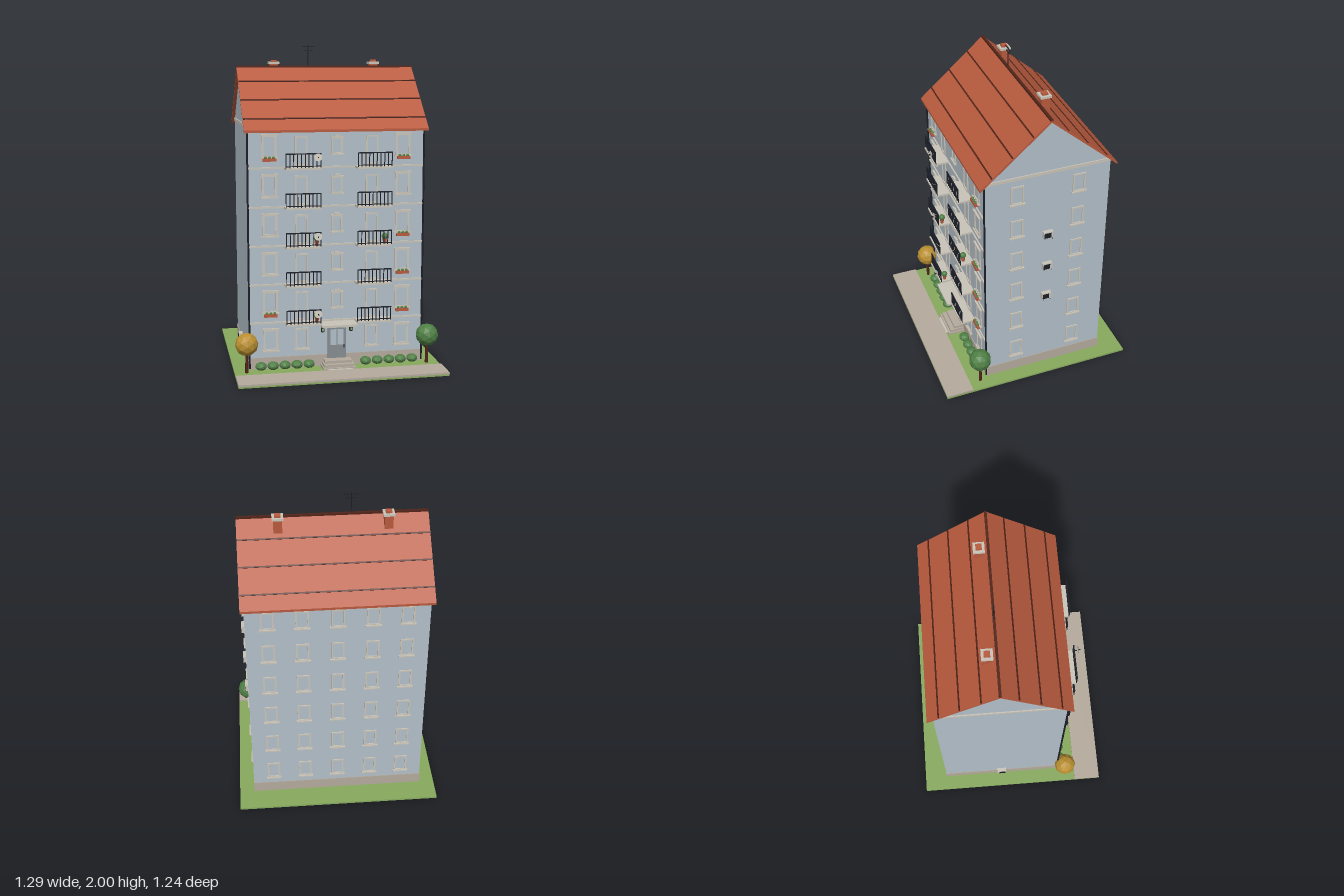
import * as THREE from 'three';

const mat = (name, color, extra = {}) => Object.assign(new THREE.MeshStandardMaterial({ color, ...extra }), { name });

export function createModel() {
  const M = {
    wall: mat('paleBlueWall', 0xb1bec8),
    trim: mat('creamTrim', 0xc9c4b8),
    stone: mat('stone', 0xb4aa9c),
    roof: mat('terracotta', 0xb85a3e),
    brown: mat('darkBrown', 0x522318),
    iron: mat('blackIron', 0x1c1f28),
    grey: mat('doorGrey', 0x858c90),
    grass: mat('grass', 0x87aa5e),
    leaf: mat('leafGreen', 0x4f7f45, { flatShading: true }),
    gold: mat('autumnGold', 0xb98f32, { flatShading: true }),
  };
  const model = new THREE.Group();
  model.name = 'apartmentBlock';

  const add = (name, geo, m, x = 0, y = 0, z = 0, parent = model) => {
    const mesh = new THREE.Mesh(geo, m);
    mesh.name = name;
    mesh.position.set(x, y, z);
    parent.add(mesh);
    return mesh;
  };
  const box = (name, m, w, h, d, x, y, z, parent) => add(name, new THREE.BoxGeometry(w, h, d), m, x, y, z, parent);
  const group = (name, x = 0, y = 0, z = 0, ry = 0) => {
    const g = new THREE.Group();
    g.name = name;
    g.position.set(x, y, z);
    g.rotation.y = ry;
    model.add(g);
    return g;
  };
  // extrudes a (z, y) outline along x, centred
  const alongX = (pts, width) => {
    const g = new THREE.ExtrudeGeometry(new THREE.Shape(pts.map(p => new THREE.Vector2(...p))), { depth: width, bevelEnabled: false });
    return g.rotateY(-Math.PI / 2).translate(width / 2, 0, 0);
  };

  const FRONT = 0.318, BACK = -0.468, MID = -0.075, HALF = 0.547;
  const rows = [0, 1, 2, 3, 4, 5].map(i => 0.195 + 0.24 * i);

  // ground
  box('lawn', M.grass, 1.29, 0.012, 1.24, 0, 0.006, 0);
  box('pavement', M.stone, 1.29, 0.012, 0.175, 0, 0.016, 0.533);

  // walls with gables, plinth
  add('walls', alongX([[BACK, 0.01], [FRONT, 0.01], [FRONT, 1.51], [MID, 1.85], [BACK, 1.51]], HALF * 2), M.wall);
  box('plinth', M.stone, HALF * 2 + 0.008, 0.075, FRONT - BACK + 0.008, 0, 0.0475, MID);
  for (const s of [-1, 1]) {
    box('gableBand', M.trim, 0.008, 0.02, 0.79, s * (HALF + 0.003), 1.512, MID);
    add('drainpipe', new THREE.CylinderGeometry(0.006, 0.006, 1.47, 8), M.iron, s * HALF, 0.755, FRONT + 0.005);
  }

  // roof slopes with batten lines
  const slope = 0.867, run = 0.428, tilt = Math.atan(slope);
  const roofY = d => 1.865 - slope * d;
  for (const s of [-1, 1]) {
    const pts = [[MID, 1.865], [MID, 1.85], [MID + s * run, roofY(run) - 0.015], [MID + s * run, roofY(run)]];
    add('roofSlope', alongX(s > 0 ? pts : pts.reverse(), 1.135), M.roof);
    for (const d of [0.105, 0.23, 0.355]) {
      const line = box('roofLine', M.brown, 1.13, 0.008, 0.009, 0, roofY(d), MID + s * d);
      line.rotation.x = s * tilt;
    }
  }
  box('ridgeCap', M.brown, 1.135, 0.012, 0.016, 0, 1.864, MID);

  // chimneys
  for (const x of [-0.325, 0.325]) {
    box('chimney', M.roof, 0.052, 0.12, 0.052, x, 1.825, -0.13);
    box('chimneyCap', M.trim, 0.068, 0.014, 0.068, x, 1.887, -0.13);
    box('chimneyPot', M.roof, 0.036, 0.012, 0.036, x, 1.9, -0.13);
  }

  // aerial
  add('aerialMast', new THREE.CylinderGeometry(0.003, 0.003, 0.14, 6), M.iron, -0.11, 1.93, MID);
  box('aerialBar', M.iron, 0.085, 0.004, 0.004, -0.11, 1.99, MID);
  box('aerialBar', M.iron, 0.06, 0.004, 0.004, -0.11, 1.965, MID);

  // window frames: hollow surround, sill, optional head
  const frame = (parent, name, w, h, x, y, t = 0.01, sill = true, head = 0) => {
    const rect = (P, a, b) => new P([[-a, -b], [a, -b], [a, b], [-a, b]].map(p => new THREE.Vector2(...p)));
    const shape = rect(THREE.Shape, w / 2, h / 2);
    shape.holes.push(rect(THREE.Path, w / 2 - t, h / 2 - t));
    add(name, new THREE.ExtrudeGeometry(shape, { depth: 0.007, bevelEnabled: false }), M.trim, x, y, 0, parent);
    if (sill) box('sill', M.trim, w + 0.016, 0.009, 0.016, x, y - h / 2, 0.007, parent);
    if (head) box('windowHead', M.trim, w + head, 0.009, 0.014, x, y + h / 2, 0.006, parent);
  };

  const front = group('frontFacade', 0, 0, FRONT);
  const back = group('backFacade', 0, 0, BACK, Math.PI);
  const side = group('leftFacade', HALF, 0, 0, Math.PI / 2);
  rows.forEach((y, i) => {
    for (const s of [-1, 1]) {
      frame(front, 'frontWindow', 0.092, 0.14, s * 0.415, y, 0.013, true, 0.012);
      if (i === 0) frame(front, 'groundWindow', 0.08, 0.135, s * 0.22, y);
      else frame(front, 'balconyDoor', 0.078, 0.18, s * 0.22, y - 0.03, 0.01, false);
    }
    if (i > 0) {
      frame(front, 'stairWindow', 0.07, 0.105, 0, y, 0.01, true, 0.012);
      box('keystone', M.trim, 0.035, 0.012, 0.012, 0, y + 0.06, 0.006, front);
      box('stringCourse', M.trim, HALF * 2, 0.011, 0.01, 0, y - 0.13, 0.004, front);
    }
    for (const x of [-0.415, -0.21, 0, 0.21, 0.415]) frame(back, 'backWindow', 0.08, 0.125, x, y);
    for (const z of [0.12, -0.27]) frame(side, 'sideWindow', 0.08, 0.125, -z, y);
  });

  // balconies with front railings
  for (let i = 1; i < 6; i++) for (const s of [-1, 1]) {
    const b = group('balcony', s * 0.22, rows[i] - 0.13, FRONT);
    box('balconySlab', M.trim, 0.215, 0.012, 0.095, 0, 0, 0.0475, b);
    box('topRail', M.iron, 0.215, 0.007, 0.007, 0, 0.09, 0.087, b);
    box('bottomRail', M.iron, 0.215, 0.005, 0.005, 0, 0.015, 0.087, b);
    for (let k = 0; k < 10; k++) box('baluster', M.iron, 0.005, 0.085, 0.005, -0.105 + k * 0.21 / 9, 0.047, 0.087, b);
  }

  // satellite dishes on alternate right-hand balconies
  for (const i of [1, 3, 5]) {
    const y = rows[i] - 0.06;
    const dish = add('satelliteDish', new THREE.CylinderGeometry(0.024, 0.012, 0.009, 14), M.trim, -0.135, y, 0.428);
    dish.rotation.x = Math.PI / 2 - 0.2;
    box('dishArm', M.iron, 0.005, 0.005, 0.03, -0.135, y - 0.01, 0.416);
    box('dishReceiver', M.iron, 0.006, 0.006, 0.014, -0.135, y, 0.438);
  }

  // potted plants
  for (const [x, i] of [[-0.135, 1], [-0.135, 3], [0.29, 3]]) {
    const y = rows[i] - 0.124;
    add('plantPot', new THREE.CylinderGeometry(0.014, 0.01, 0.03, 8), M.roof, x, y + 0.015, 0.375);
    add('pottedPlant', new THREE.IcosahedronGeometry(0.02, 1), M.leaf, x, y + 0.045, 0.375);
  }

  // window boxes
  for (const [s, i] of [[-1, 1], [1, 1], [1, 2], [1, 3], [-1, 5], [1, 5]]) {
    box('flowerBox', M.roof, 0.082, 0.018, 0.022, s * 0.415, rows[i] - 0.08, 0.337);
    for (const k of [-1, 0, 1]) add('boxPlant', new THREE.IcosahedronGeometry(0.01, 0), M.leaf, s * 0.415 + k * 0.024, rows[i] - 0.067, 0.337);
  }

  // air conditioners on the end walls
  for (const [s, y] of [[1, 1.073], [1, 0.833], [1, 0.595], [-1, 0.115]]) {
    const ac = group('airConditioner', s * HALF, y, -0.075, s * Math.PI / 2);
    box('acCase', M.trim, 0.062, 0.046, 0.026, 0, 0, 0.017, ac);
    box('acGrille', M.iron, 0.042, 0.034, 0.003, s * -0.006, 0, 0.031, ac);
    for (const k of [-1, 1]) box('acBracket', M.iron, 0.004, 0.005, 0.032, k * 0.024, -0.025, 0.016, ac);
  }

  // entrance
  box('doorFrame', M.grey, 0.115, 0.2, 0.012, 0, 0.16, FRONT + 0.004);
  box('doorGlass', M.wall, 0.085, 0.1, 0.004, 0, 0.195, FRONT + 0.011);
  box('glazingBar', M.grey, 0.005, 0.1, 0.004, 0, 0.195, FRONT + 0.013);
  box('doorHandle', M.iron, 0.004, 0.02, 0.006, 0.045, 0.135, FRONT + 0.013);
  box('canopy', M.trim, 0.222, 0.014, 0.12, 0, 0.293, 0.376);
  box('landing', M.stone, 0.17, 0.05, 0.07, 0, 0.035, 0.352);
  box('middleStep', M.stone, 0.19, 0.034, 0.1, 0, 0.027, 0.366);
  box('bottomStep', M.stone, 0.205, 0.018, 0.115, 0, 0.019, 0.374);
  box('doorMat', M.trim, 0.16, 0.006, 0.02, 0, 0.02, 0.436);
  for (const s of [-1, 1]) {
    box('lampCase', M.iron, 0.02, 0.026, 0.018, s * 0.09, 0.245, FRONT + 0.009);
    box('lampGlass', M.grass, 0.012, 0.016, 0.004, s * 0.09, 0.245, FRONT + 0.018);
  }

  // hedge bushes and trees
  for (const s of [-1, 1]) {
    for (let k = 0; k < 5; k++) {
      const bush = add('bush', new THREE.IcosahedronGeometry(0.036, 1), M.leaf, s * (0.18 + k * 0.075), 0.039, 0.347);
      bush.scale.y = 0.72;
      bush.rotation.y = k;
    }
    add('treeTrunk', new THREE.CylinderGeometry(0.008, 0.011, 0.14, 7), M.brown, s * 0.57, 0.08, 0.372);
    add('treeCrown', new THREE.IcosahedronGeometry(0.072, 1), s < 0 ? M.gold : M.leaf, s * 0.57, 0.192, 0.372);
  }
  return model;
}
